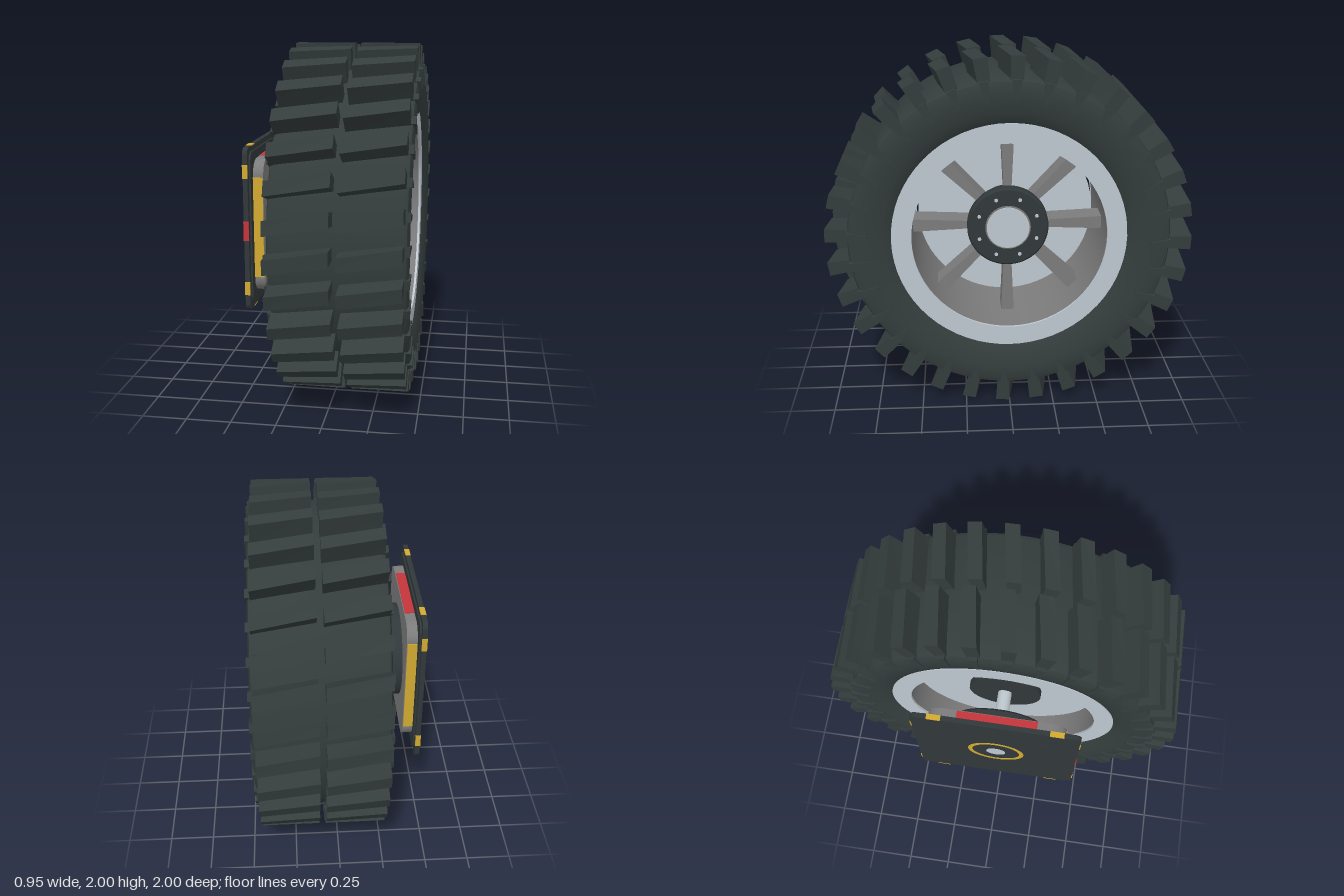
import * as THREE from 'three';
import { toCreasedNormals } from 'three/addons/utils/BufferGeometryUtils.js';

const mat = (name, color) => {
  const m = new THREE.MeshStandardMaterial({ color });
  m.name = name;
  return m;
};

export function createModel() {
  const rubber = mat('rubber', 0x343c3c);
  const dark = mat('dark metal', 0x31383a);
  const steel = mat('light steel', 0xbfc8d0);
  const grey = mat('grey metal', 0x7c7c7c);
  const yellow = mat('yellow', 0xd2aa30);
  const red = mat('red', 0xc4353a);

  const model = new THREE.Group();
  model.name = 'wheelUnit';
  const wheel = new THREE.Group();
  wheel.name = 'wheel';
  const mount = new THREE.Group();
  mount.name = 'mount';
  wheel.position.y = mount.position.y = 1; // axle height
  model.add(wheel, mount);

  const add = (parent, name, geometry, material) => {
    const mesh = new THREE.Mesh(geometry, material);
    mesh.name = name;
    parent.add(mesh);
    return mesh;
  };
  // Solid of revolution about the x axis; points are [radius, x], ascending x on the outside
  const turned = (points, segments = 64) => {
    const g = new THREE.LatheGeometry(points.map(([r, x]) => new THREE.Vector2(r, x)), segments);
    return toCreasedNormals(g.rotateZ(-Math.PI / 2), 0.6);
  };
  const ring = (r0, r1, x0, x1) => turned([[r0, x0], [r1, x0], [r1, x1], [r0, x1], [r0, x0]]);
  const rod = (r, x0, x1, segments = 48) =>
    new THREE.CylinderGeometry(r, r, x1 - x0, segments).rotateZ(-Math.PI / 2).translate((x0 + x1) / 2, 0, 0);
  const box = (x0, x1, y0, y1, z0, z1) =>
    new THREE.BoxGeometry(x1 - x0, y1 - y0, z1 - z0).translate((x0 + x1) / 2, (y0 + y1) / 2, (z0 + z1) / 2);
  // Rounded square plate facing along x
  const plate = (half, corner, x0, x1) => {
    const s = new THREE.Shape();
    const c = half - corner;
    [[c, c], [-c, c], [-c, -c], [c, -c]].forEach(([x, y], i) =>
      s.absarc(x, y, corner, i * Math.PI / 2, (i + 1) * Math.PI / 2, false));
    const g = new THREE.ExtrudeGeometry(s, { depth: x1 - x0, bevelEnabled: false, curveSegments: 6 });
    return toCreasedNormals(g.rotateY(Math.PI / 2).translate(x0, 0, 0), 0.5);
  };

  // Tyre carcass
  const mid = 0.1;
  const side = [[0.62, 0.30], [0.64, 0.32], [0.70, 0.345], [0.78, 0.36], [0.84, 0.36], [0.87, 0.35], [0.88, 0.33]];
  const profile = [
    ...side.map(([r, x]) => [r, mid - x]),
    ...side.slice().reverse().map(([r, x]) => [r, mid + x]),
    [0.62, mid - 0.30],
  ];
  add(wheel, 'tyre', turned(profile, 96), rubber);

  // Skewed tread lugs in two rows, with radial flanks
  const count = 32;
  const lug = (x0, x1, shift) => {
    const g = new THREE.BoxGeometry(1, 1, 1);
    const p = g.attributes.position;
    for (let i = 0; i < p.count; i++) {
      const r = p.getY(i) > 0 ? 1.0 : 0.86;
      const a = shift - p.getX(i) * 0.055 + p.getZ(i) * 0.078;
      p.setXYZ(i, p.getX(i) < 0 ? x0 : x1, r * Math.cos(a), r * Math.sin(a));
    }
    g.computeVertexNormals();
    return g;
  };
  // Shoulder lug, narrowing toward the rim
  const toe = (x0, x1, z) => {
    const g = box(x0, x1, 0.77, 0.88, -0.5, 0.5);
    const p = g.attributes.position;
    for (let i = 0; i < p.count; i++) p.setZ(i, z + p.getZ(i) * (p.getY(i) > 0.8 ? 0.05 : 0.015));
    g.computeVertexNormals();
    return g;
  };
  const leftLug = lug(0.115, 0.44, -0.014);
  const rightLug = lug(-0.25, 0.08, 0.014);
  const leftToe = toe(0.42, 0.468, -0.035);
  const rightToe = toe(-0.27, -0.22, 0.035);
  for (let i = 0; i < count; i++) {
    const g = new THREE.Group();
    g.name = 'treadLugs';
    g.rotation.x = (i / count) * Math.PI * 2;
    add(g, 'leftTreadLug', leftLug, rubber);
    add(g, 'rightTreadLug', rightLug, rubber);
    add(g, 'leftShoulderLug', leftToe, rubber);
    add(g, 'rightShoulderLug', rightToe, rubber);
    wheel.add(g);
  }

  // Rim: two flanges, barrel and recessed back disc
  add(wheel, 'leftFlange', ring(0.535, 0.645, 0.415, 0.428), steel);
  add(wheel, 'rightFlange', ring(0.535, 0.645, -0.228, -0.215), steel);
  add(wheel, 'barrel', ring(0.54, 0.62, -0.215, 0.415), grey);
  add(wheel, 'backDisc', rod(0.515, -0.08, -0.06, 64), steel);

  // Spokes, wider toward the rim
  const spoke = box(0.06, 0.2, 0.12, 0.535, -0.5, 0.5);
  const sp = spoke.attributes.position;
  for (let i = 0; i < sp.count; i++) sp.setZ(i, sp.getZ(i) * (sp.getY(i) > 0.3 ? 0.074 : 0.036));
  spoke.computeVertexNormals();
  for (let i = 0; i < 8; i++) add(wheel, 'spoke', spoke, grey).rotation.x = i * Math.PI / 4;

  // Hub with cap and bolts
  add(wheel, 'hubCore', rod(0.15, -0.07, 0.2), dark);
  add(wheel, 'hubFace', turned([[0, 0.195], [0.23, 0.195], [0.23, 0.245], [0.22, 0.255], [0, 0.255]]), dark);
  add(wheel, 'hubCapRim', rod(0.128, 0.25, 0.26), grey);
  add(wheel, 'hubCap', rod(0.12, 0.25, 0.267), steel);
  const bolt = rod(0.011, 0.25, 0.262, 6).translate(0, 0.175, 0);
  for (let i = 0; i < 8; i++) add(wheel, 'hubBolt', bolt, steel).rotation.x = (i + 0.5) * Math.PI / 4;
  add(wheel, 'rearHub', rod(0.21, -0.115, -0.07), dark);
  add(wheel, 'axle', rod(0.04, -0.33, -0.1, 32), steel);

  // Mount: plate, block and drive housing
  add(mount, 'mountPlate', plate(0.46, 0.04, -0.475, -0.448), dark);
  add(mount, 'plateStep', plate(0.43, 0.05, -0.45, -0.438), dark);
  add(mount, 'block', plate(0.38, 0.09, -0.44, -0.38), grey);
  add(mount, 'housing', turned([[0, -0.39], [0.27, -0.39], [0.27, -0.315], [0.255, -0.303], [0, -0.303]]), dark);
  add(mount, 'bearingCollar', rod(0.09, -0.31, -0.29, 32), dark);
  // Round knob standing on edge, half sunk in the housing
  const knob = new THREE.CylinderGeometry(0.085, 0.085, 0.07, 32).rotateX(Math.PI / 2);
  add(mount, 'redKnob', knob, red).position.set(-0.362, 0.01, 0.205);

  // Coloured strips on the block and the plate edges
  for (const s of [-1, 1]) {
    const front = box(-0.438, -0.384, -0.285, 0.285, -0.003, 0.003);
    add(mount, 'blockYellowStrip', front, yellow).position.z = s * 0.381;
    const top = box(-0.438, -0.384, -0.003, 0.003, -0.22, 0.22);
    add(mount, 'blockRedStrip', top, red).position.y = s * 0.381;
    for (const t of [-1, 1]) {
      add(mount, 'edgeMark', box(-0.477, -0.447, -0.038, 0.038, -0.003, 0.003), yellow)
        .position.set(0, t * 0.33, s * 0.46);
      add(mount, 'edgeMark', box(-0.477, -0.447, -0.003, 0.003, -0.038, 0.038), yellow)
        .position.set(0, s * 0.46, t * 0.33);
      add(mount, 'plateBolt', rod(0.025, -0.478, -0.47, 12), dark).position.set(0, s * 0.27, t * 0.27);
    }
  }
  add(mount, 'frontRedMark', box(-0.477, -0.447, -0.055, 0.055, 0.457, 0.463), red);

  // Outer face details
  add(mount, 'yellowRing', ring(0.135, 0.16, -0.4765, -0.472), yellow);
  add(mount, 'centreDisc', rod(0.055, -0.4775, -0.472, 32), steel);
  return model;
}
